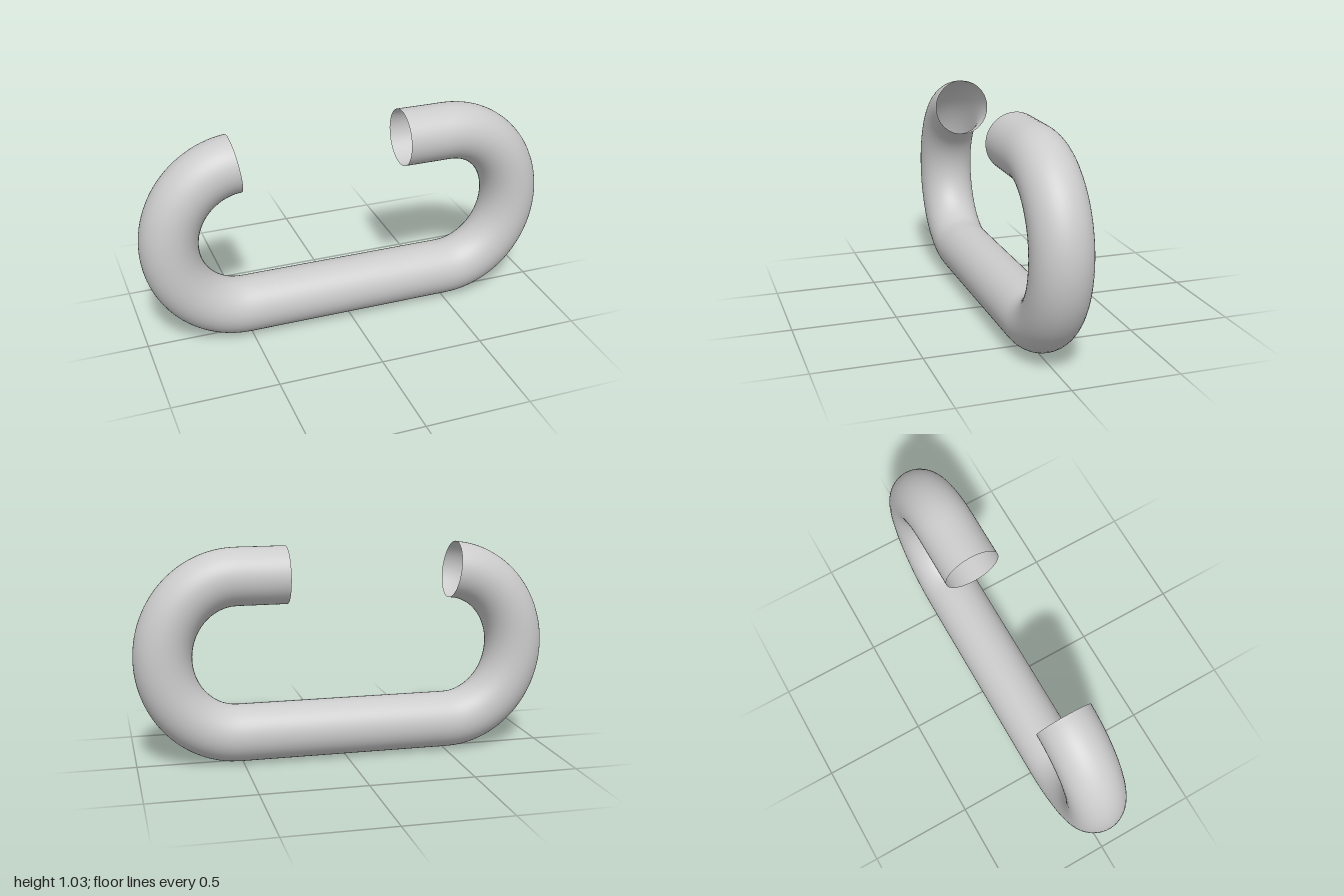
import * as THREE from 'three';

const TUBE = 0.137;          // tube radius
const MID = 0.513;           // height of the bend centres
const BEND_X = 0.513;        // distance of the bend centres from the middle
const RX = 0.35, RY = 0.376; // bend radii along the tube's centre line

export function createModel() {
  const group = new THREE.Group();
  const points = [];
  const add = (x, y) => points.push(new THREE.Vector3(x, y, 0));

  // straight run between two x positions, end point left out
  const straight = (x0, x1, y, n) => {
    for (let i = 0; i < n; i++) add(x0 + (x1 - x0) * i / n, y);
  };
  // bend around (cx, MID), angles in radians, end point left out
  const bend = (cx, a0, a1, n) => {
    for (let i = 0; i < n; i++) {
      const a = a0 + (a1 - a0) * i / n;
      add(cx + RX * Math.cos(a), MID + RY * Math.sin(a));
    }
  };

  // centre line: short upper arm, left bend, lower bar, right bend with open end
  const quarter = Math.PI / 2;
  const endAngle = -Math.PI - quarter + 0.077;
  const openEnd = endAngle - 0.154;
  straight(0.276, BEND_X, MID + RY, 4);
  bend(BEND_X, quarter, -quarter, 24);
  straight(BEND_X, -BEND_X, MID - RY, 16);
  bend(-BEND_X, -quarter, openEnd + 0.154, 24);
  add(-BEND_X + RX * Math.cos(endAngle), MID + RY * Math.sin(endAngle));

  const path = new THREE.CatmullRomCurve3(points);
  path.arcLengthDivisions = 1000;

  // hollow tube, open at both ends
  const hook = new THREE.Mesh(
    new THREE.TubeGeometry(path, 160, TUBE, 48, false),
    new THREE.MeshStandardMaterial({ color: 0xcccccc, side: THREE.DoubleSide })
  );
  hook.name = 'openLinkTube';
  group.add(hook);
  return group;
}
